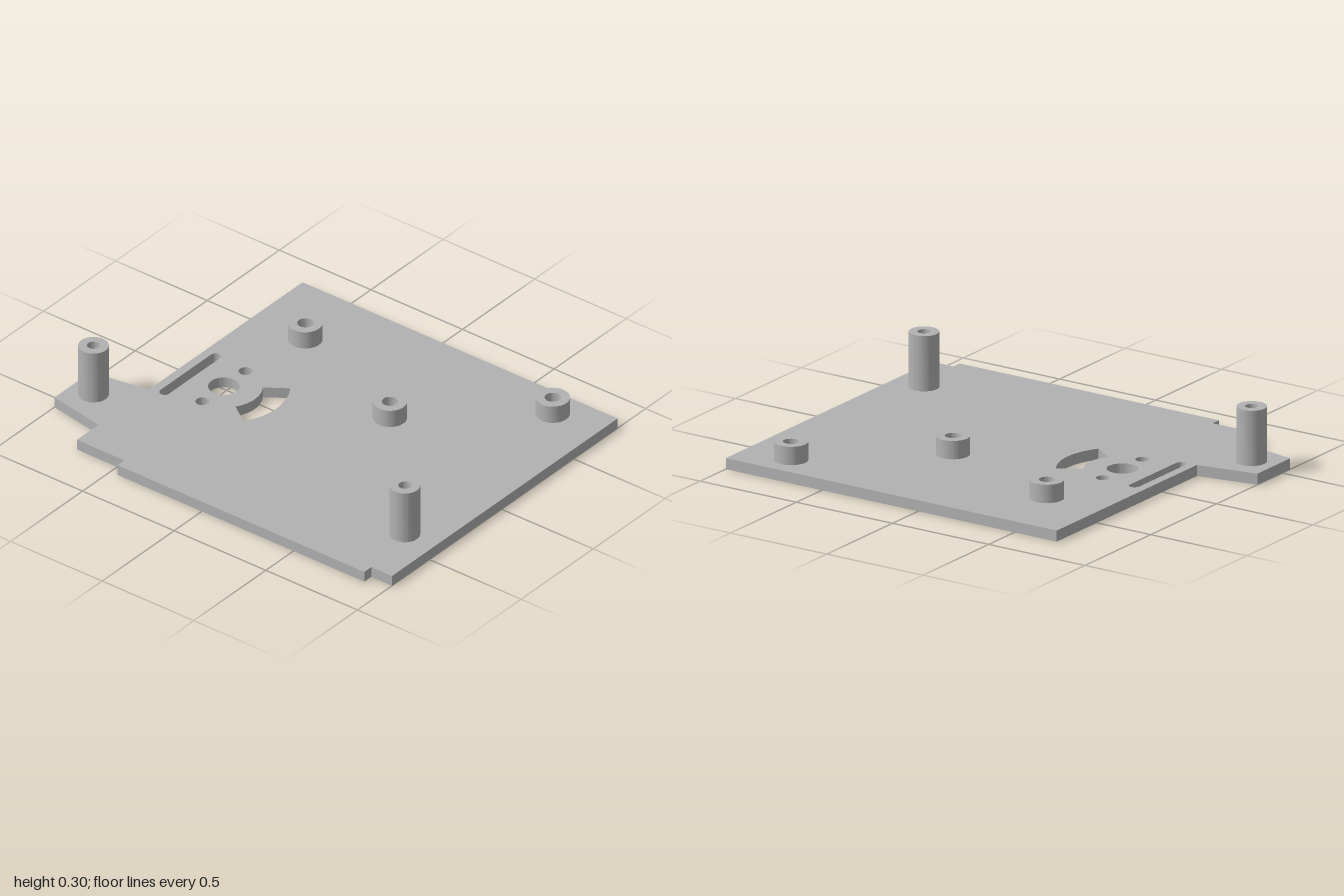
import * as THREE from 'three';
import { toCreasedNormals } from 'three/addons/utils/BufferGeometryUtils.js';

const PLATE = 0.05; // plate thickness

// Plan coordinates are (x, z); shapes are drawn with y = -z and laid flat.
function circle(x, z, r) {
  return new THREE.Path().absarc(x, -z, r, 0, Math.PI * 2);
}

function extrudeUp(shape, bottom, top) {
  const geometry = new THREE.ExtrudeGeometry(shape, {
    depth: top - bottom, bevelEnabled: false, curveSegments: 24,
  });
  geometry.rotateX(-Math.PI / 2).translate(0, bottom, 0);
  return toCreasedNormals(geometry, 0.6);
}

export function createModel() {
  const group = new THREE.Group();
  const grey = new THREE.MeshStandardMaterial({ name: 'grey', color: 0xb2b2b2 });

  const add = (name, geometry) => {
    const mesh = new THREE.Mesh(geometry, grey);
    mesh.name = name;
    group.add(mesh);
  };

  // x, z, outer radius, hole radius, top height
  const standoffs = [
    ['tallBackStandoff', -0.435, -0.885, 0.066, 0.028, 0.3],
    ['tallFrontStandoff', -0.467, 0.84, 0.066, 0.028, 0.3],
    ['shortBackStandoff', 0.464, -0.436, 0.074, 0.035, 0.133],
    ['shortMiddleStandoff', 0.207, 0.228, 0.074, 0.035, 0.133],
    ['shortFrontStandoff', 0.664, 0.757, 0.074, 0.035, 0.133],
  ];

  // Plate outline with the tapered back tab and the side step
  const plate = new THREE.Shape([
    [-0.76, 1], [0.805, 1], [0.805, -0.72], [-0.26, -0.72], [-0.31, -1], [-0.56, -1],
    [-0.61, -0.72], [-0.76, -0.72], [-0.76, -0.46], [-0.808, -0.46], [-0.808, 0.887], [-0.76, 0.887],
  ].map(([x, z]) => new THREE.Vector2(x, -z)));

  // Shaft hole and its two screw holes
  const cx = -0.041, cz = -0.483;
  plate.holes.push(circle(cx, cz, 0.068), circle(cx - 0.15, cz, 0.03), circle(cx + 0.15, cz, 0.03));

  // Fan-shaped window around the shaft hole
  const mid = -Math.PI / 2, half = 0.606;
  const fan = new THREE.Path();
  fan.absarc(cx, -cz, 0.285, mid - half, mid + half, false);
  fan.absarc(cx, -cz, 0.167, mid + half, mid - half, true);
  fan.closePath();
  plate.holes.push(fan);

  // Long slot with rounded ends
  const slot = new THREE.Path();
  slot.absarc(0.118, 0.655, 0.024, -Math.PI / 2, Math.PI / 2, false);
  slot.absarc(-0.232, 0.655, 0.024, Math.PI / 2, Math.PI * 1.5, false);
  slot.closePath();
  plate.holes.push(slot);

  // Hollow standoffs, bored through the plate
  for (const [name, x, z, radius, bore, top] of standoffs) {
    plate.holes.push(circle(x, z, bore));
    const ring = new THREE.Shape().absarc(x, -z, radius, 0, Math.PI * 2);
    ring.holes.push(circle(x, z, bore));
    add(name, extrudeUp(ring, PLATE, top));
  }

  add('basePlate', extrudeUp(plate, 0, PLATE));
  return group;
}
